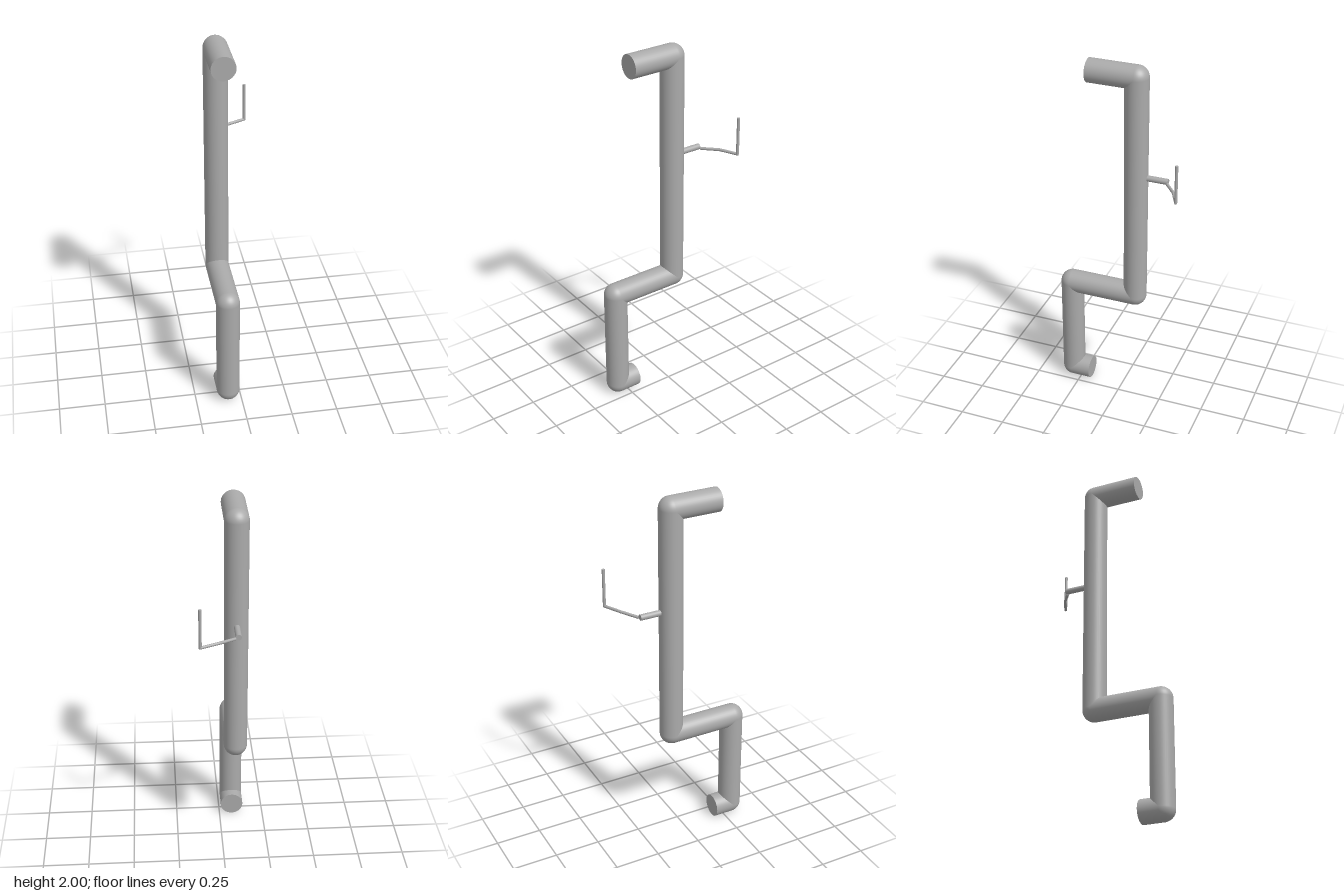
import * as THREE from 'three';

const UP = new THREE.Vector3(0, 1, 0);

export function createModel() {
  const model = new THREE.Group();
  model.name = 'bentPipeWithHook';
  const grey = new THREE.MeshStandardMaterial({ color: 0xaaaaaa });
  grey.name = 'grey';

  // Straight round bar between two points
  function rod(name, a, b, radius, sides) {
    const from = new THREE.Vector3(...a), to = new THREE.Vector3(...b);
    const dir = to.clone().sub(from);
    const mesh = new THREE.Mesh(new THREE.CylinderGeometry(radius, radius, dir.length(), sides), grey);
    mesh.name = name;
    mesh.position.copy(from).add(to).multiplyScalar(0.5);
    mesh.quaternion.setFromUnitVectors(UP, dir.normalize());
    model.add(mesh);
  }

  // Run of bars with a ball at each inner corner
  function run(name, points, radius, sides) {
    for (let i = 0; i < points.length - 1; i++) {
      rod(`${name}Section${i + 1}`, points[i], points[i + 1], radius, sides);
      if (i === 0) continue;
      const elbow = new THREE.Mesh(new THREE.SphereGeometry(radius, sides, sides / 2), grey);
      elbow.name = `${name}Elbow${i}`;
      elbow.position.set(...points[i]);
      model.add(elbow);
    }
  }

  // Main pipe: top inlet, long drop, forward step, short drop, bottom outlet
  const x = -0.072, r = 0.0635;
  run('pipe', [
    [x, 1.936, 0.187],
    [x, 1.936, -0.074],
    [x, 0.647, -0.074],
    [x, 0.647, 0.299],
    [x, 0.067, 0.299],
    [x, 0.067, 0.187],
  ], r, 40);

  // Short stub on the back of the pipe
  rod('stub', [x, 1.38, -0.1], [x, 1.38, -0.25], 0.016, 24);

  // Thin bent arm ending in an upright pin
  run('arm', [
    [-0.055, 1.374, -0.25],
    [0.03, 1.383, -0.311],
    [0.126, 1.383, -0.356],
    [0.126, 1.59, -0.356],
  ], 0.008, 16);

  // Centre of the overall footprint and foot on the ground
  const box = new THREE.Box3().setFromObject(model, true);
  const c = box.getCenter(new THREE.Vector3());
  model.children.forEach((m) => m.position.sub(new THREE.Vector3(c.x, box.min.y, c.z)));
  return model;
}
